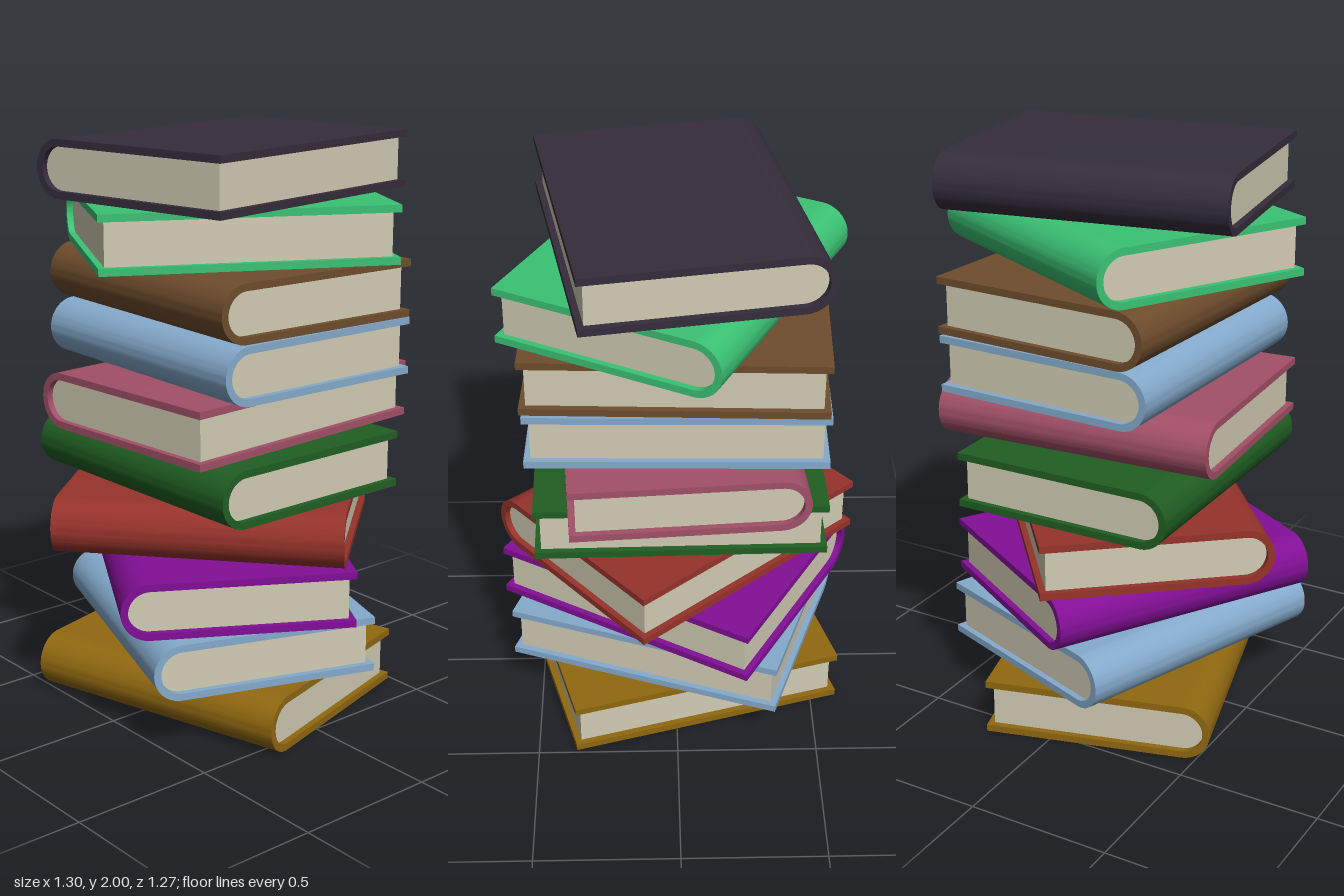
import * as THREE from 'three';
import { toCreasedNormals } from 'three/addons/utils/BufferGeometryUtils.js';

const W = 0.795, L = 0.995, H = 0.197; // spine to fore-edge, along spine, thickness
const T = 0.025;                       // cover board thickness
const INSET = 0.022;                   // pages sit back from the cover edges

const mat = (name, color) => {
  const m = new THREE.MeshStandardMaterial({ color });
  m.name = name;
  return m;
};

// Extrude a profile along the spine, centred, with a smooth round back
function slab(shape, length) {
  const g = new THREE.ExtrudeGeometry(shape, { depth: length, bevelEnabled: false, curveSegments: 20 });
  g.translate(0, 0, -length / 2);
  return toCreasedNormals(g, 0.5);
}

// U-shaped cover profile: two boards joined by a half-round spine at -x
function coverGeometry() {
  const R = H / 2, r = R - T, cx = -W / 2 + R, x1 = W / 2;
  const s = new THREE.Shape();
  s.moveTo(x1, R);
  s.lineTo(cx, R);
  s.absarc(cx, 0, R, Math.PI / 2, Math.PI * 1.5, false);
  s.lineTo(x1, -R);
  s.lineTo(x1, -r);
  s.lineTo(cx, -r);
  s.absarc(cx, 0, r, Math.PI * 1.5, Math.PI / 2, true);
  s.lineTo(x1, r);
  s.closePath();
  return slab(s, L);
}

// Page block filling the inside of the cover
function pagesGeometry() {
  const r = H / 2 - T, cx = -W / 2 + H / 2, x1 = W / 2 - INSET;
  const s = new THREE.Shape();
  s.moveTo(x1, r);
  s.lineTo(cx, r);
  s.absarc(cx, 0, r, Math.PI / 2, Math.PI * 1.5, false);
  s.lineTo(x1, -r);
  s.closePath();
  return slab(s, L - 2 * INSET);
}

export function createModel() {
  const group = new THREE.Group();
  group.name = 'bookStack';

  const pagesMat = mat('paper', 0xd2ccb4);
  const blue = mat('light blue', 0x84aacc);
  // Bottom to top: cover material, turn in degrees
  const books = [
    [mat('gold', 0x906810), 15.7],
    [blue, -19.6],
    [mat('purple', 0x820f96), -30.4],
    [mat('red', 0x96332b), 40.2],
    [mat('dark green', 0x205e22), 0.9],
    [mat('pink', 0xa25068), -86],
    [blue, -1.4],
    [mat('brown', 0x6f4d2d), -2.5],
    [mat('green', 0x3bc274), -117.7],
    [mat('charcoal', 0x352d3b), -80.2],
  ];

  const cover = coverGeometry(), pages = pagesGeometry();
  const step = (2 - H) / (books.length - 1);
  books.forEach(([coverMat, turn], i) => {
    const book = new THREE.Group();
    book.name = `book${i + 1}`;
    const c = new THREE.Mesh(cover, coverMat);
    c.name = 'cover';
    const p = new THREE.Mesh(pages, pagesMat);
    p.name = 'pages';
    book.add(c, p);
    // The upper half of the stack is shifted slightly sideways
    book.position.set(i < 5 ? -0.028 : 0.018, H / 2 + i * step, -0.008);
    book.rotation.y = THREE.MathUtils.degToRad(turn);
    group.add(book);
  });
  return group;
}
